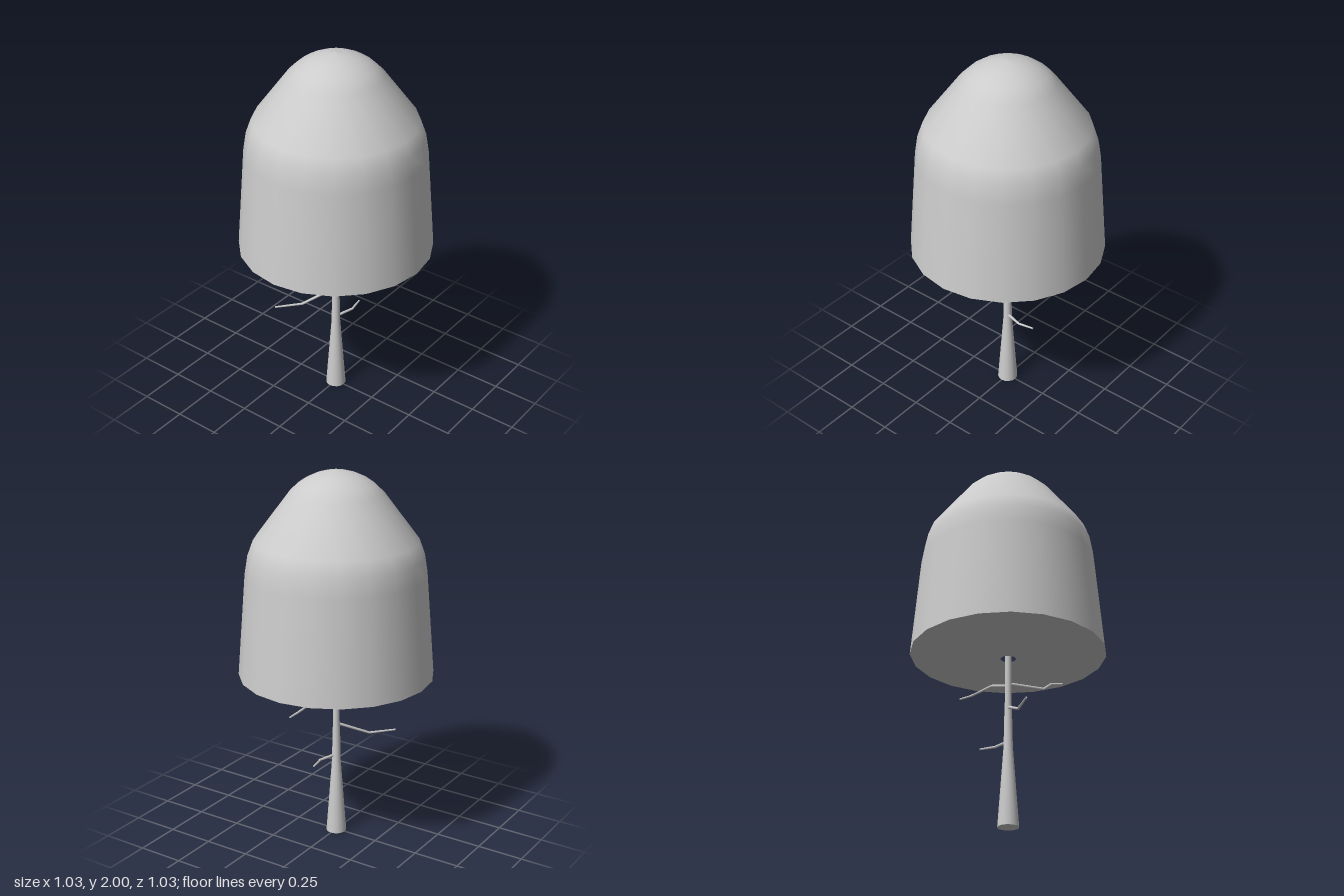
import * as THREE from 'three';

const material = new THREE.MeshStandardMaterial({ color: 0xcccccc });

function lathe(name, profile, sides) {
  const points = profile.map(([r, y]) => new THREE.Vector2(r, y));
  const mesh = new THREE.Mesh(new THREE.LatheGeometry(points, sides), material);
  mesh.name = name;
  return mesh;
}

// Crooked twig: tapered cylinders between joints, with a small knuckle at each bend
function branch(name, coords, thick = 0.008, thin = 0.005) {
  const group = new THREE.Group();
  group.name = name;
  const joints = coords.map((c) => new THREE.Vector3(...c));
  const radius = (i) => THREE.MathUtils.lerp(thick, thin, i / (joints.length - 1));
  for (let i = 0; i < joints.length - 1; i++) {
    const dir = joints[i + 1].clone().sub(joints[i]);
    const part = new THREE.Mesh(
      new THREE.CylinderGeometry(radius(i + 1), radius(i), dir.length(), 8), material);
    part.name = 'branchSegment';
    part.position.copy(joints[i]).addScaledVector(dir, 0.5);
    part.quaternion.setFromUnitVectors(new THREE.Vector3(0, 1, 0), dir.normalize());
    group.add(part);
    if (i > 0) {
      const knuckle = new THREE.Mesh(new THREE.SphereGeometry(radius(i), 8, 6), material);
      knuckle.name = 'branchKnuckle';
      knuckle.position.copy(joints[i]);
      group.add(knuckle);
    }
  }
  return group;
}

export function createModel() {
  const tree = new THREE.Group();
  tree.name = 'tree';

  // Bell-shaped foliage
  tree.add(lathe('canopy', [
    [0.513, 0.926], [0.468, 1.47], [0.452, 1.566], [0.423, 1.645],
    [0.243, 1.884], [0.2, 1.926], [0.155, 1.957], [0.105, 1.98], [0.055, 1.994], [0, 2],
  ], 20));

  // Shallow cone under the foliage, open around the trunk
  tree.add(lathe('canopyUnderside', [[0.04, 0.905], [0.513, 0.926]], 20));

  // Trunk, flared at the foot, with a flat base
  tree.add(lathe('trunk', [
    [0.055, 0], [0.024, 0.42], [0.021, 0.57], [0.018, 0.66], [0.017, 1.0],
  ], 16));
  tree.add(lathe('trunkBase', [[0, 0], [0.055, 0]], 16));

  // Bare branches below the foliage
  tree.add(branch('lowerBackBranch', [
    [0.005, 0.45, 0], [0.034, 0.45, -0.105], [0.018, 0.45, -0.19]]));
  tree.add(branch('frontRightBranch', [
    [0, 0.635, 0], [-0.12, 0.555, 0.142], [-0.217, 0.555, 0.255]]));
  tree.add(branch('frontLeftBranch', [
    [0, 0.765, 0], [0.116, 0.742, 0.143], [0.143, 0.772, 0.172], [0.18, 0.774, 0.217]]));
  tree.add(branch('upperBackBranch', [
    [0.005, 0.755, 0], [0.045, 0.8, -0.132], [0.055, 0.78, -0.275], [0.055, 0.778, -0.349]]));

  return tree;
}
